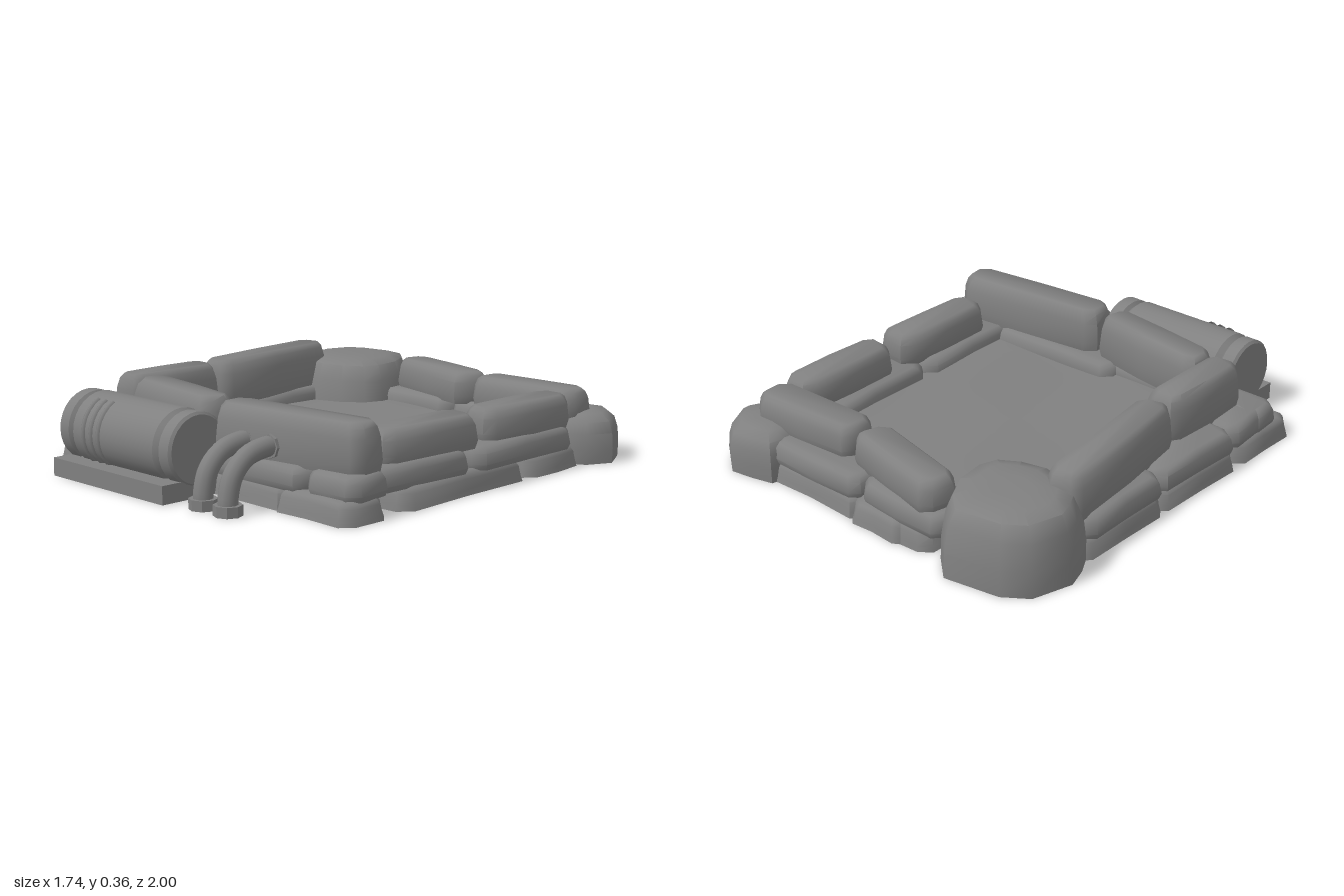
import * as THREE from 'three';
import { toCreasedNormals } from 'three/addons/utils/BufferGeometryUtils.js';

const material = new THREE.MeshStandardMaterial({ color: 0x808080, side: THREE.DoubleSide });

function seeded(seed) {
  let s = seed * 7919 + 17;
  return () => (s = (s * 16807) % 2147483647) / 2147483647;
}

function mesh(name, geometry, parent) {
  const m = new THREE.Mesh(geometry, material);
  m.name = name;
  parent.add(m);
  return m;
}

// Stacked outlines joined into a skin, closed on top and open underneath.
// Each ring is { y, points: [[x, z], ...] }, ordered from bottom to top.
function stackRings(rings) {
  const n = rings[0].points.length;
  const pos = [], index = [];
  rings.forEach(r => r.points.forEach(([x, z]) => pos.push(x, r.y, z)));
  for (let j = 0; j < rings.length - 1; j++) {
    for (let i = 0; i < n; i++) {
      const a = j * n + i, b = j * n + (i + 1) % n;
      index.push(a, a + n, b, b, a + n, b + n);
    }
  }
  const last = (rings.length - 1) * n;
  for (let i = 1; i < n - 1; i++) index.push(last, last + i + 1, last + i);
  const g = new THREE.BufferGeometry();
  g.setAttribute('position', new THREE.Float32BufferAttribute(pos, 3));
  g.setIndex(index);
  return toCreasedNormals(g, 0.9);
}

// Long flat-topped stone with chamfered corners between two end points.
// Stones on the ground flare outwards at the foot.
function stone(name, parent, [x0, z0, x1, z1, width, y0, y1], seed) {
  const rnd = seeded(seed);
  const L = Math.hypot(x1 - x0, z1 - z0) / 2, W = width / 2;
  const c = Math.min(0.045, W * 0.45);
  const outline = [
    [L, -W + c], [L, W - c], [L - c, W], [0, W], [-L + c, W],
    [-L, W - c], [-L, -W + c], [-L + c, -W], [0, -W], [L - c, -W],
  ].map(([x, z]) => [x + (rnd() - 0.5) * 0.015, z + (rnd() - 0.5) * 0.015]);
  const foot = y0 === 0 ? -0.006 : 0.008;
  const levels = [[0, foot], [0.25, 0], [0.7, 0.007], [0.9, 0.018], [1, 0.034]];
  const rings = levels.map(([t, inset]) => ({
    y: y0 + (y1 - y0) * t,
    points: outline.map(([x, z]) => [x * (1 - inset / L), z * (1 - inset / W)]),
  }));
  const m = mesh(name, stackRings(rings), parent);
  m.position.set((x0 + x1) / 2, 0, (z0 + z1) / 2);
  m.rotation.y = -Math.atan2(z1 - z0, x1 - x0);
}

// Tapered boulder with a low dome, grown from its ground outline.
function boulder(name, parent, cx, cz, height, outline, levels) {
  const rings = levels.map(([t, s]) => ({
    y: t * height,
    points: outline.map(([x, z]) => [(x - cx) * s, (z - cz) * s]),
  }));
  mesh(name, stackRings(rings), parent).position.set(cx, 0, cz);
}

export function createModel() {
  const model = new THREE.Group();

  // Gently rippled water surface
  const water = new THREE.PlaneGeometry(1.3, 1.36, 16, 16).rotateX(-Math.PI / 2);
  const wp = water.attributes.position;
  for (let i = 0; i < wp.count; i++) {
    wp.setY(i, 0.005 * Math.sin(wp.getX(i) * 7) * Math.cos(wp.getZ(i) * 6));
  }
  water.computeVertexNormals();
  mesh('water', water, model).position.set(0, 0.12, -0.05);

  // Three courses of stones: end points, width, bottom, top
  const courses = {
    lowerStone: [
      [-0.69, 0.4, -0.69, 0.8, 0.25, 0, 0.09], [-0.69, -0.1, -0.7, 0.41, 0.24, 0, 0.09],
      [-0.69, -0.58, -0.69, -0.08, 0.25, 0, 0.09], [-0.6, 0.67, 0.02, 0.65, 0.2, 0, 0.09],
      [0, 0.64, 0.52, 0.64, 0.2, 0, 0.09], [0.46, 0.63, 0.86, 0.64, 0.23, 0, 0.09],
      [0.72, 0.43, 0.69, -0.31, 0.25, 0, 0.09], [0.69, -0.33, 0.67, -0.68, 0.25, 0, 0.09],
      [0.05, -0.81, 0.58, -0.8, 0.23, 0, 0.09], [-0.32, -0.82, 0.1, -0.83, 0.23, 0, 0.09],
      [-0.2, -0.89, 0.06, -0.87, 0.13, 0, 0.09],
    ],
    middleStone: [
      [-0.69, -0.57, -0.68, -0.08, 0.26, 0.08, 0.175], [-0.68, -0.1, -0.69, 0.4, 0.25, 0.08, 0.175],
      [-0.69, 0.36, -0.66, 0.72, 0.25, 0.08, 0.175], [-0.8, 0.63, 0, 0.63, 0.2, 0.08, 0.175],
      [-0.07, 0.61, 0.6, 0.6, 0.26, 0.08, 0.175], [0.58, 0.61, 0.85, 0.59, 0.24, 0.08, 0.175],
      [0.68, 0, 0.69, 0.6, 0.27, 0.08, 0.175], [0.66, -0.64, 0.69, 0, 0.28, 0.08, 0.175],
      [0.06, -0.8, 0.57, -0.79, 0.26, 0.08, 0.175], [-0.4, -0.8, 0.07, -0.78, 0.27, 0.08, 0.175],
    ],
    upperStone: [
      [-0.71, -0.61, -0.61, 0.12, 0.18, 0.165, 0.36], [-0.61, 0.13, -0.6, 0.61, 0.18, 0.165, 0.36],
      [-0.53, 0.54, 0.06, 0.64, 0.18, 0.165, 0.36], [0.08, 0.64, 0.82, 0.57, 0.19, 0.165, 0.36],
      [0.69, -0.08, 0.69, 0.45, 0.19, 0.165, 0.3], [0.69, -0.66, 0.69, -0.13, 0.19, 0.165, 0.3],
      [0.2, -0.73, 0.74, -0.75, 0.19, 0.165, 0.3], [-0.34, -0.84, 0.18, -0.73, 0.18, 0.165, 0.3],
    ],
  };
  let seed = 1;
  for (const [name, list] of Object.entries(courses)) {
    for (const spec of list) stone(name, model, spec, seed++);
  }

  // Boulders at the two back corners
  boulder('largeBoulder', model, -0.575, -0.72, 0.305, [
    [-0.29, -0.63], [-0.32, -0.54], [-0.42, -0.48], [-0.55, -0.45], [-0.67, -0.48], [-0.79, -0.54], [-0.84, -0.63],
    [-0.87, -0.72], [-0.82, -0.89], [-0.72, -0.96], [-0.48, -1], [-0.38, -0.91], [-0.31, -0.78],
  ], [[0, 1], [0.35, 0.985], [0.7, 0.92], [0.92, 0.82], [0.98, 0.6], [1, 0.3]]);
  boulder('smallBoulder', model, 0.68, -0.815, 0.21, [
    [0.87, -0.8], [0.82, -0.69], [0.72, -0.64], [0.6, -0.64], [0.52, -0.72],
    [0.5, -0.85], [0.52, -0.95], [0.62, -0.975], [0.72, -0.99], [0.8, -0.93],
  ], [[0, 0.985], [0.3, 1], [0.6, 0.97], [0.82, 0.88], [0.96, 0.66], [1, 0.35]]);

  // Filter drum with a groove near each end, lying along x
  const filter = new THREE.Group();
  filter.name = 'filter';
  model.add(filter);
  const half = [[0.35, 0.115], [0.35, 0.136], [0.34, 0.147], [0.285, 0.147], [0.272, 0.132], [0.25, 0.15]];
  const profile = [[-0.35, 0], ...half.map(([t, r]) => [-t, r]), ...[...half].reverse(), [0.35, 0]];
  const drum = new THREE.LatheGeometry(profile.map(([t, r]) => new THREE.Vector2(r, t)), 28);
  drum.rotateZ(-Math.PI / 2);
  mesh('filterDrum', toCreasedNormals(drum, 0.6), filter).position.set(-0.22, 0.19, 0.82);

  // Base tray, open underneath
  const base = new THREE.BoxGeometry(0.69, 0.075, 0.32);
  const faces = [...base.index.array];
  base.setIndex([...faces.slice(0, 18), ...faces.slice(24)]);
  mesh('filterBase', base, filter).position.set(-0.22, 0.0375, 0.84);

  // Curved ribs on the front of the drum
  for (const x of [-0.405, -0.357, -0.31]) {
    const rib = new THREE.TorusGeometry(0.144, 0.014, 6, 14, 2.05);
    rib.rotateZ(-0.95).rotateY(-Math.PI / 2);
    mesh('filterRib', rib, filter).position.set(x, 0.19, 0.82);
  }

  // Bent pipes running from the stones down to the ground
  for (const x of [0.27, 0.41]) {
    const path = new THREE.CatmullRomCurve3([
      [0.66, 0.232], [0.74, 0.23], [0.83, 0.207], [0.895, 0.145], [0.92, 0.06], [0.92, 0.01],
    ].map(([z, y]) => new THREE.Vector3(x, y, z)));
    mesh('pipe', new THREE.TubeGeometry(path, 16, 0.04, 10), model);
    const flange = new THREE.CylinderGeometry(0.057, 0.057, 0.042, 8);
    mesh('pipeFlange', toCreasedNormals(flange, 0.6), model).position.set(x, 0.021, 0.92);
    const collar = new THREE.CylinderGeometry(0.048, 0.048, 0.03, 8).rotateX(Math.PI / 2);
    mesh('pipeCollar', toCreasedNormals(collar, 0.6), model).position.set(x, 0.23, 0.7);
  }
  return model;
}
